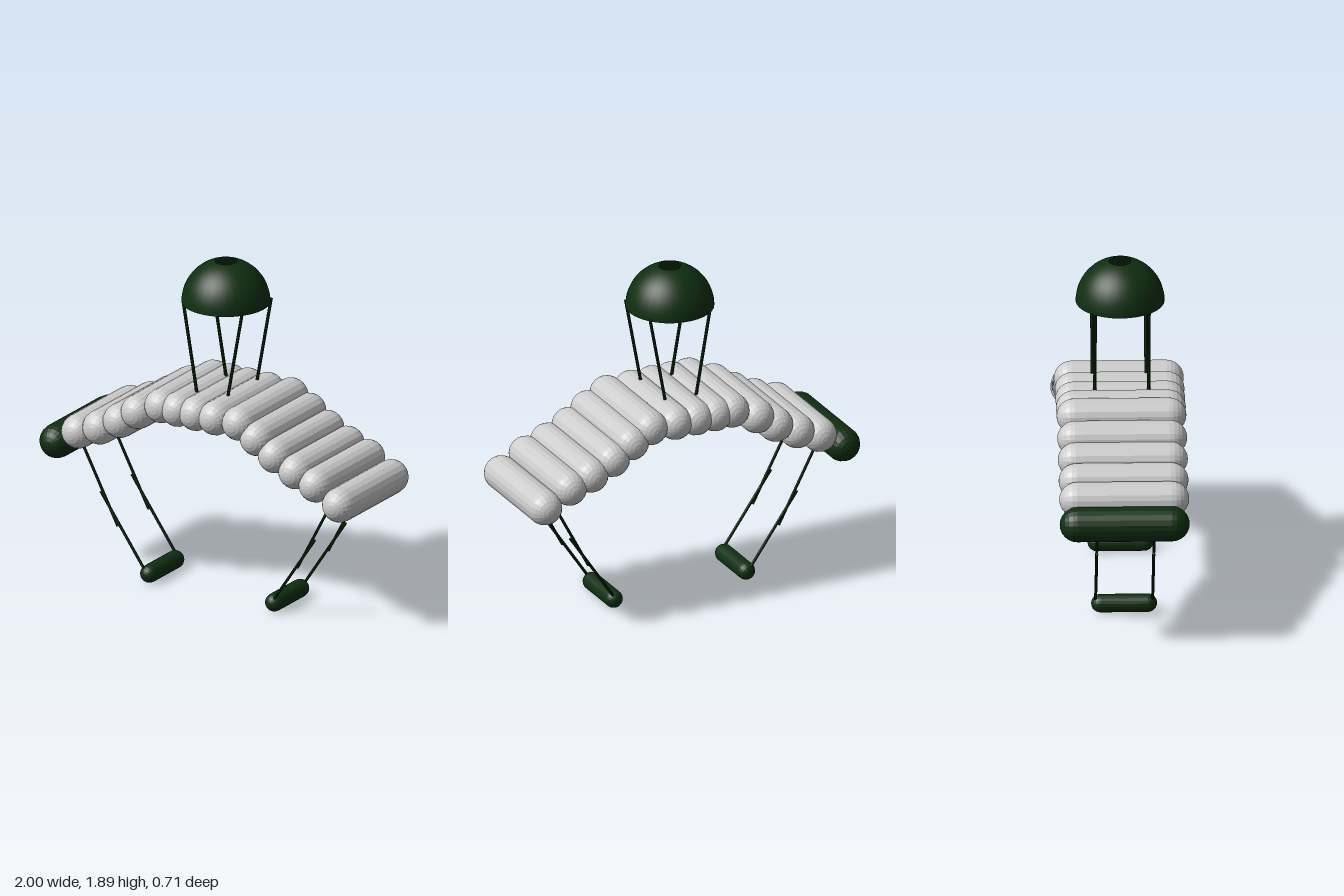
import * as THREE from 'three';

const grey = new THREE.MeshStandardMaterial({ color: 0xcccccc, flatShading: true });
const green = new THREE.MeshStandardMaterial({ color: 0x0f2f10, flatShading: true });
const canopyGreen = new THREE.MeshStandardMaterial({ color: 0x0f2f10, side: THREE.DoubleSide });

export function createModel() {
  const model = new THREE.Group();

  const add = (name, geometry, material) => {
    const mesh = new THREE.Mesh(geometry, material);
    mesh.name = name;
    model.add(mesh);
    return mesh;
  };

  // Capsule lying along z
  const roll = (name, x, y, z, radius, length, material) => {
    const geometry = new THREE.CapsuleGeometry(radius, length - 2 * radius, 6, 20);
    geometry.rotateX(Math.PI / 2);
    add(name, geometry, material).position.set(x, y, z);
  };

  // Thin straight rod between two points
  const rod = (name, from, to, radius) => {
    const a = new THREE.Vector3(...from);
    const b = new THREE.Vector3(...to);
    const dir = b.clone().sub(a);
    const mesh = add(name, new THREE.CylinderGeometry(radius, radius, dir.length(), 8), green);
    mesh.position.copy(a).add(b).multiplyScalar(0.5);
    mesh.quaternion.setFromUnitVectors(new THREE.Vector3(0, 1, 0), dir.normalize());
  };

  // Arched row of air tubes
  const tubes = [
    [-0.765, 0.835], [-0.63, 0.885], [-0.5, 0.95], [-0.385, 1.025], [-0.235, 1.09],
    [-0.13, 1.09], [-0.015, 1.09], [0.11, 1.09], [0.26, 1.09], [0.375, 1.025],
    [0.49, 0.95], [0.62, 0.885], [0.75, 0.835], [0.9, 0.75],
  ];
  for (const [x, y] of tubes) roll('airTube', x, y, -0.005 * x, 0.095, 0.7, grey);

  // Dark leading tube at one end
  roll('endTube', -0.905, 0.75, 0.003, 0.095, 0.7, green);

  // Hanging control bars, each on two-piece lines
  for (const side of [-1, 1]) {
    const foot = side < 0 ? -0.39 : 0.41;
    roll('controlBar', foot, 0.053, 0.012, 0.05, 0.355, green);
    for (const z of [0.165, -0.142]) {
      rod('upperLine', [side * 0.825, 0.77, z], [side * 0.575, 0.295, z], 0.008);
      rod('lowerLine', [side * 0.685, 0.475, z], [foot, 0.06, z], 0.008);
    }
  }

  // Small open dome with a vent hole on top
  const radius = 0.24;
  const vent = Math.asin(0.06 / radius);
  const dome = new THREE.SphereGeometry(radius, 32, 14, 0, Math.PI * 2, vent, Math.PI / 2 - vent);
  add('canopy', dome, canopyGreen).position.set(0.01, 1.66, 0);

  // Four lines from the dome rim to the arch
  for (const z of [0.147, -0.143]) {
    rod('canopyLine', [-0.165, 1.67, z + 0.005], [-0.077, 1.16, z + 0.005], 0.009);
    rod('canopyLine', [0.205, 1.67, z - 0.005], [0.111, 1.16, z - 0.005], 0.009);
  }

  return model;
}
